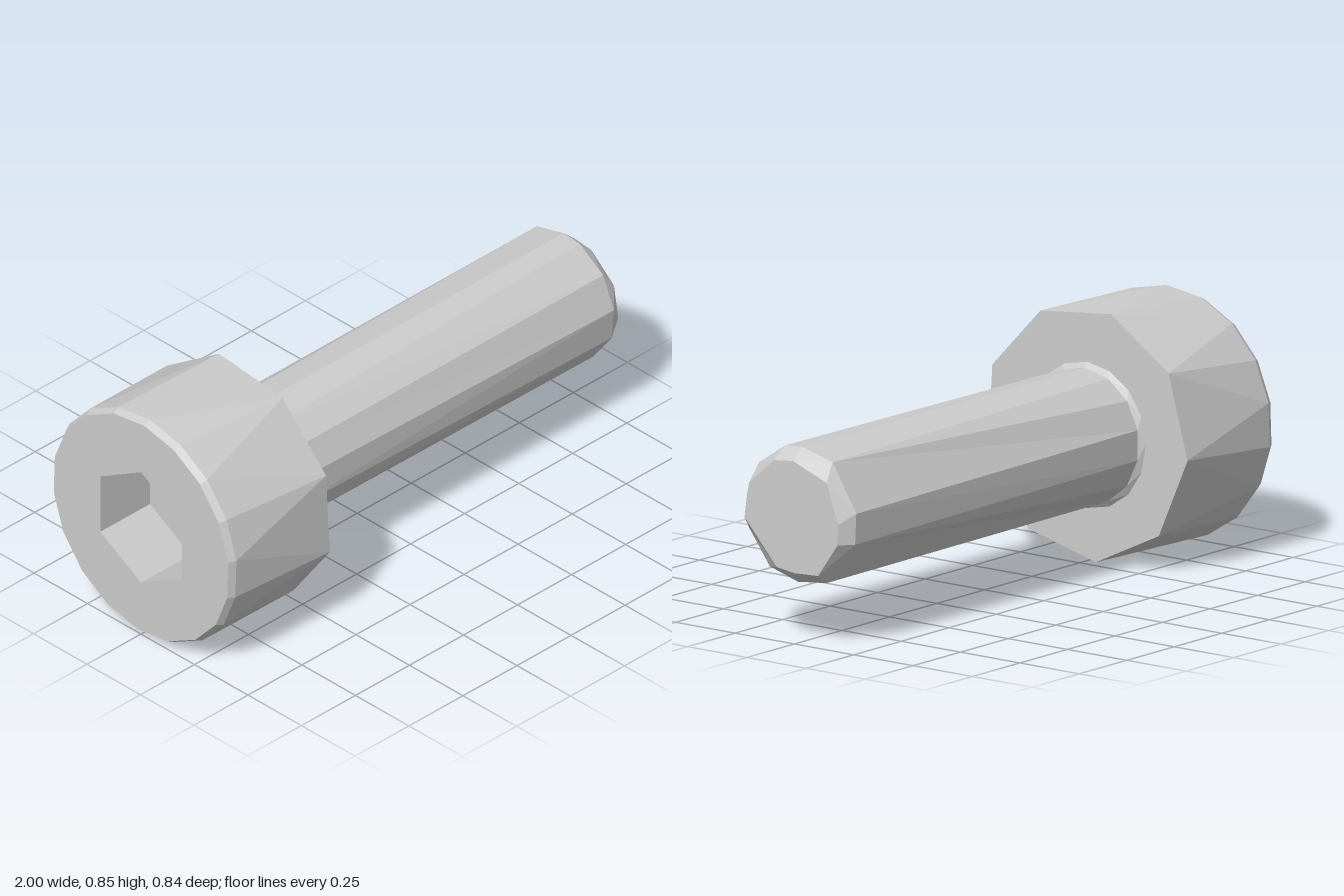
import * as THREE from 'three';

const CY = 0.426; // height of the bolt axis

// A cross-section at x: [z, y] corners sorted by angle around the axis
function section(x, corners) {
  const points = corners.map(([z, y]) => {
    const a = Math.atan2(y - CY, z);
    return { p: [x, y, z], a: a < 0 ? a + Math.PI * 2 : a };
  });
  return points.sort((m, n) => m.a - n.a);
}

// A regular cross-section
function regular(x, radius, sides, phaseDeg) {
  const corners = [];
  for (let i = 0; i < sides; i++) {
    const a = THREE.MathUtils.degToRad(phaseDeg) + (i / sides) * Math.PI * 2;
    corners.push([radius * Math.cos(a), CY + radius * Math.sin(a)]);
  }
  return section(x, corners);
}

const centre = (x) => [{ p: [x, CY, 0], a: 0 }];

// Joins two sections with differing corner counts, walking round both by angle
function bridge(out, A, B) {
  const nA = A.length > 1 ? A.length : 0;
  const nB = B.length > 1 ? B.length : 0;
  const at = (R, i) => R[i % R.length];
  const angle = (R, i) => at(R, i).a + Math.floor(i / R.length) * Math.PI * 2;
  let i = 0, j = 0;
  while (i < nA || j < nB) {
    const stepA = j >= nB || (i < nA && angle(A, i + 1) < angle(B, j + 1));
    const third = stepA ? at(A, i + 1) : at(B, j + 1);
    out.push(...at(A, i).p, ...at(B, j).p, ...third.p);
    if (stepA) i++; else j++;
  }
}

function loft(name, sections, material) {
  const positions = [];
  for (let k = 0; k + 1 < sections.length; k++) bridge(positions, sections[k], sections[k + 1]);
  const geometry = new THREE.BufferGeometry();
  geometry.setAttribute('position', new THREE.Float32BufferAttribute(positions, 3));
  geometry.computeVertexNormals();
  const mesh = new THREE.Mesh(geometry, material);
  mesh.name = name;
  return mesh;
}

export function createModel() {
  const group = new THREE.Group();
  group.name = 'socketHeadBolt';
  const material = new THREE.MeshStandardMaterial({ color: 0xcccccc, flatShading: true });

  // Hexagonal key socket sunk into the head
  const socketRim = regular(-1, 0.22, 6, 30);
  group.add(loft('hexSocket', [centre(-0.77), regular(-0.77, 0.22, 6, 30), socketRim], material));

  // Head: bevelled many-sided face running to a coarser underside
  const underside = section(-0.54, [
    [0.4, 0.605], [0.197, 0.817], [-0.1, 0.848], [-0.343, 0.683], [-0.423, 0.4],
    [-0.302, 0.128], [-0.037, 0.001], [0.247, 0.073], [0.418, 0.31],
  ]);
  const neck = regular(-0.54, 0.247, 16, 0);
  group.add(loft('head', [
    socketRim, regular(-1, 0.412, 18, 8), regular(-0.975, 0.425, 18, 8), underside, neck,
  ], material));

  // Shank: small fillet, faceted shaft and chamfered tip
  const shaftEnd = section(0.955, [
    [0.075, 0.653], [0, 0.658], [-0.125, 0.625], [-0.225, 0.465], [-0.22, 0.36],
    [-0.1, 0.213], [0.02, 0.2], [0.14, 0.235], [0.225, 0.35], [0.235, 0.465], [0.185, 0.58],
  ]);
  const tip = section(1, [
    [0.085, 0.61], [0.005, 0.618], [-0.135, 0.565], [-0.185, 0.43], [-0.182, 0.36],
    [-0.1, 0.245], [0, 0.24], [0.075, 0.25], [0.21, 0.4], [0.19, 0.52],
  ]);
  group.add(loft('shank', [neck, regular(-0.525, 0.23, 14, 13), shaftEnd, tip, centre(1)], material));

  return group;
}
